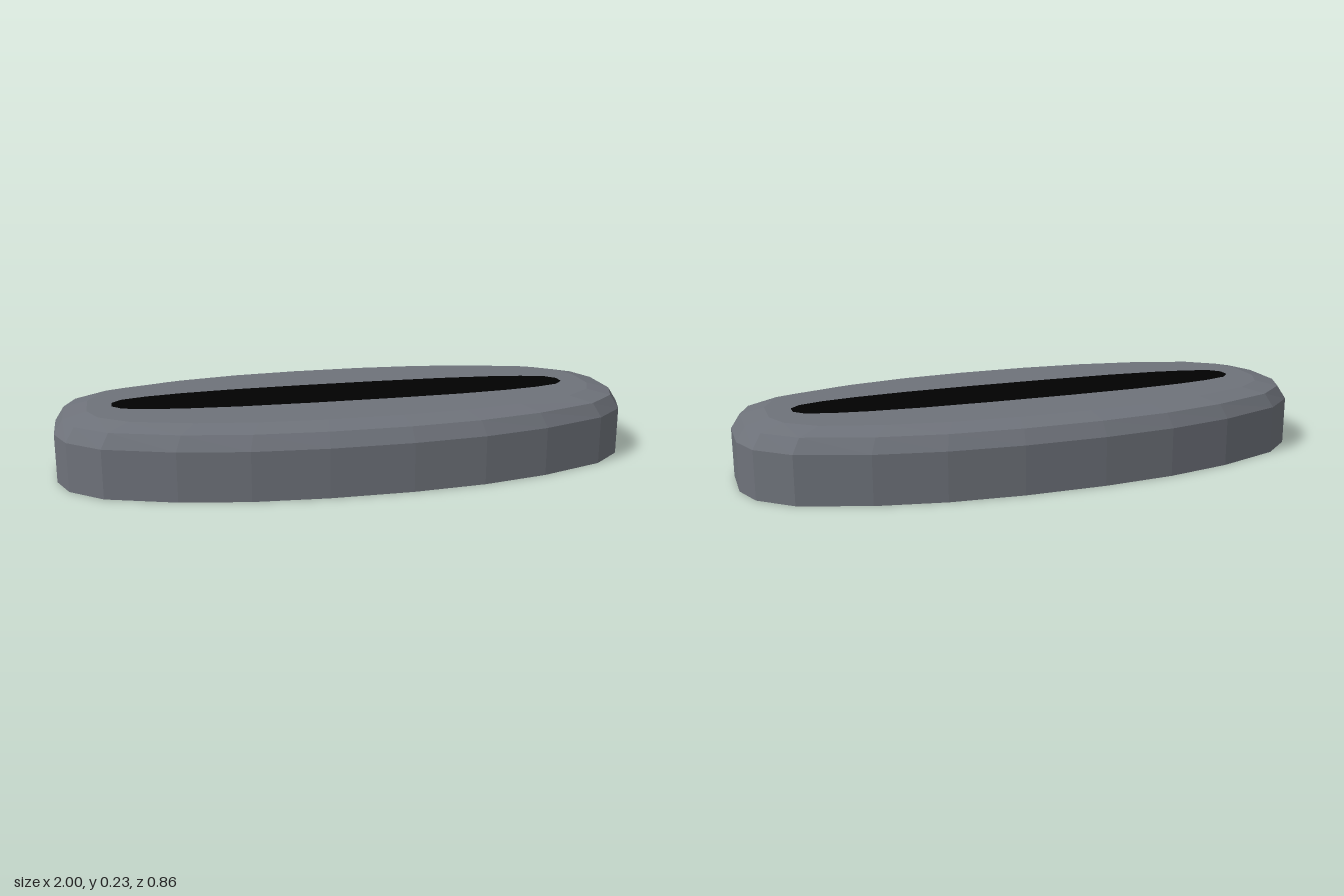
import * as THREE from 'three';

// One quarter of each outline as [x, z], from the +x end round to the +z side
const BODY = [[1, 0.085], [0.96, 0.19], [0.85, 0.285], [0.62, 0.365], [0.39, 0.41], [0.14, 0.43]];
const SLOT = [[0.808, 0.022], [0.775, 0.057], [0.69, 0.082], [0.57, 0.1], [0.39, 0.114], [0.14, 0.12]];

// Mirror a quarter into a closed 24-sided ring at height y, scaled in x and z
function ring(quarter, y, sx = 1, sz = 1) {
  const back = [...quarter].reverse();
  return [
    ...quarter.map(([x, z]) => [x, z]),
    ...back.map(([x, z]) => [-x, z]),
    ...quarter.map(([x, z]) => [-x, -z]),
    ...back.map(([x, z]) => [x, -z]),
  ].map(([x, z]) => new THREE.Vector3(x * sx, y, z * sz));
}

// Skin a series of rings with flat facets
function loft(rings) {
  const points = [];
  for (let r = 0; r < rings.length - 1; r++) {
    const a = rings[r], b = rings[r + 1];
    for (let i = 0; i < a.length; i++) {
      const j = (i + 1) % a.length;
      points.push(a[i], b[i], b[j], a[i], b[j], a[j]);
    }
  }
  const geometry = new THREE.BufferGeometry().setFromPoints(points);
  geometry.computeVertexNormals();
  return geometry;
}

function part(name, rings, color, side) {
  const material = new THREE.MeshStandardMaterial({ color, side, flatShading: true });
  const mesh = new THREE.Mesh(loft(rings), material);
  mesh.name = name;
  return mesh;
}

export function createModel() {
  const group = new THREE.Group();
  group.name = 'slottedOval';
  const top = 0.234, coreBottom = 0.055;

  // Hollow shell: upright wall, two bevels, then a flat top running in to the slot
  group.add(part('shell', [
    ring(BODY, 0),
    ring(BODY, 0.167),
    ring(BODY, 0.215, 0.97, 0.935),
    ring(BODY, top, 0.89, 0.77),
    ring(SLOT, top),
  ], 0x6e727a, THREE.DoubleSide));

  // Dark core filling the slot, ending a little above the rim of the shell
  group.add(part('slotCore', [
    ring(SLOT, coreBottom, 0, 0),
    ring(SLOT, coreBottom),
    ring(SLOT, top),
    ring(SLOT, top, 0, 0),
  ], 0x010101, THREE.FrontSide));

  return group;
}
